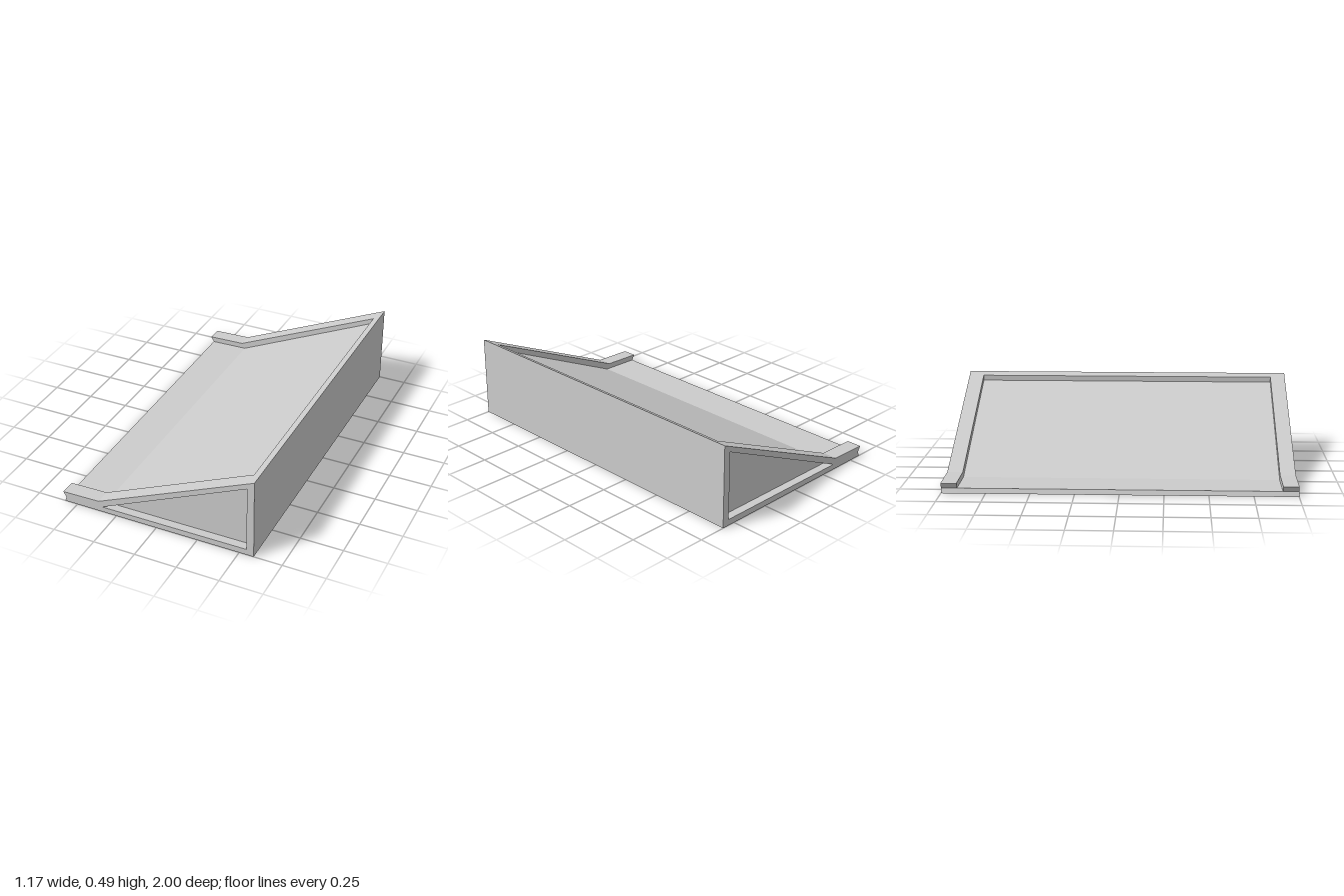
import * as THREE from 'three';

const HALF = 1;      // half length along z
const RIM = 0.09;    // width of the raised end frames
const RECESS = 0.05; // depth of the triangular pocket in each end

const material = new THREE.MeshStandardMaterial({ color: 0xcccccc, flatShading: true });

// Extrude an x/y profile from z0 to z1, with an optional hole
function slab(name, points, z0, z1, hole) {
  const toVec = (p) => new THREE.Vector2(p[0], p[1]);
  const shape = new THREE.Shape(points.map(toVec));
  if (hole) shape.holes.push(new THREE.Path(hole.map(toVec)));
  const geometry = new THREE.ExtrudeGeometry(shape, { depth: z1 - z0, bevelEnabled: false });
  geometry.translate(0, 0, z0);
  const mesh = new THREE.Mesh(geometry, material);
  mesh.name = name;
  return mesh;
}

export function createModel() {
  const group = new THREE.Group();
  group.name = 'ramp';

  // Wedge outline with a notched toe, and the triangular opening inside it
  const outline = [[-0.58, 0], [0.585, 0], [0.585, 0.487], [-0.36, 0.065], [-0.588, 0.06], [-0.57, 0.028]];
  const opening = [[-0.34, 0.032], [0.543, 0.436], [0.543, 0.036]];

  // End frames with recessed triangular panels
  for (const side of [1, -1]) {
    const span = (a, b) => (side > 0 ? [a, b] : [-b, -a]);
    const label = side > 0 ? 'front' : 'back';
    group.add(slab(label + 'EndFrame', outline, ...span(HALF - RIM, HALF), opening));
    group.add(slab(label + 'EndPanel', opening, ...span(HALF - RIM, HALF - RECESS)));
  }

  const inner = HALF - RIM;

  // Tall wall, its top following the slope
  group.add(slab('tallWall', [[0.543, 0], [0.585, 0], [0.585, 0.487], [0.543, 0.468]], -inner, inner));

  // Thin sunken ramp deck with a turned-down toe lip; open underneath
  const deck = [
    [-0.58, 0], [-0.573, 0], [-0.563, 0.02], [-0.335, 0.022], [0.543, 0.424],
    [0.543, 0.436], [-0.34, 0.032], [-0.57, 0.028],
  ];
  group.add(slab('rampDeck', deck, -inner, inner));

  return group;
}
